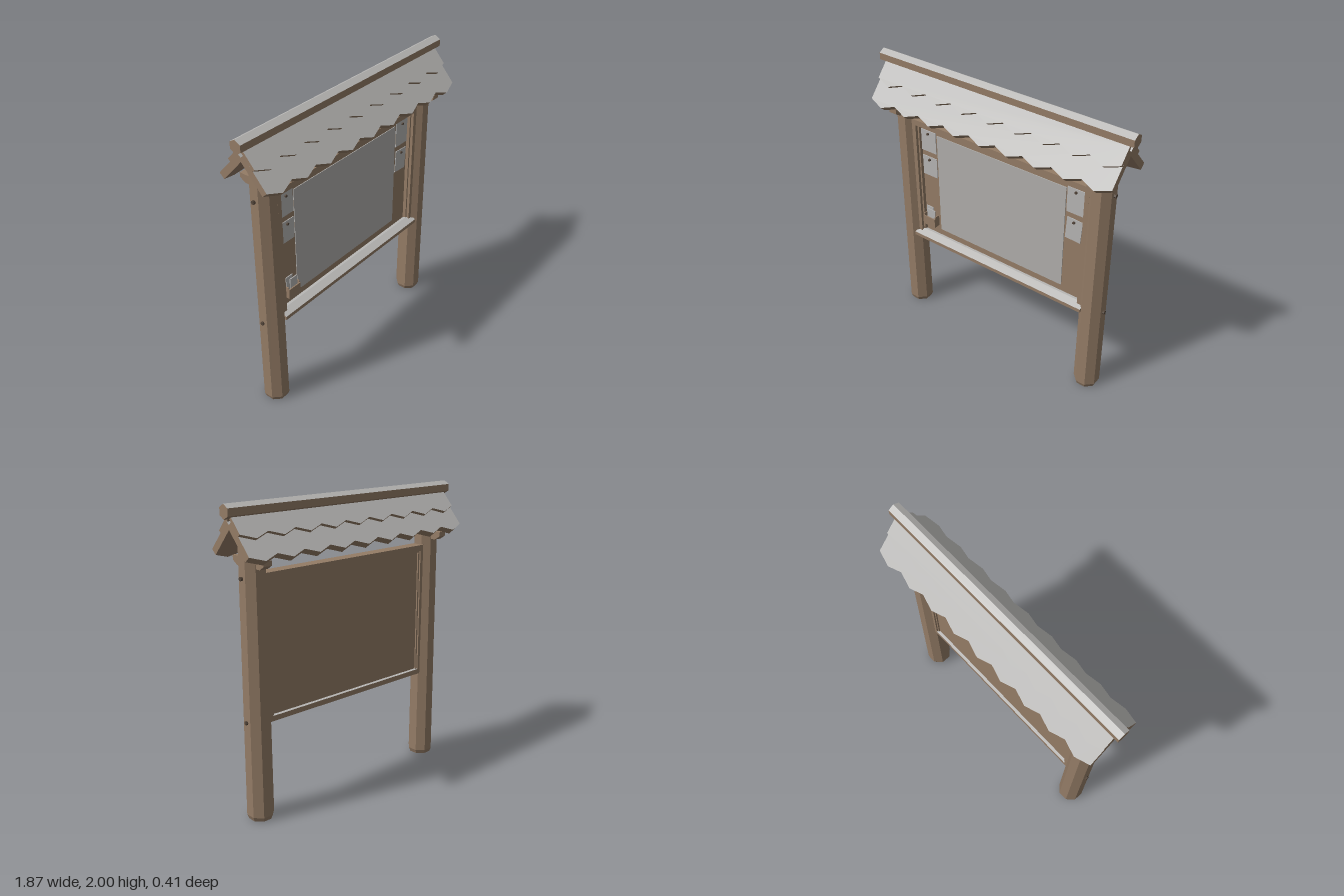
import * as THREE from 'three';

const mat = (name, color) => Object.assign(new THREE.MeshStandardMaterial({ color }), { name });

export function createModel() {
  const wood = mat('brown wood', 0x947c66);
  const weathered = mat('weathered grey', 0xb9b8b6);
  const poster = mat('poster grey', 0xb0aeab);
  const paper = mat('note paper', 0xb6b5b4);
  const metal = mat('dark metal', 0x54463a);
  const root = new THREE.Group();

  const add = (name, geo, material, x = 0, y = 0, z = 0, parent = root) => {
    const m = new THREE.Mesh(geo, material);
    m.name = name;
    m.position.set(x, y, z);
    parent.add(m);
    return m;
  };
  // box given by its limits
  const box = (name, m, x0, x1, y0, y1, z0, z1) =>
    add(name, new THREE.BoxGeometry(x1 - x0, y1 - y0, z1 - z0), m, (x0 + x1) / 2, (y0 + y1) / 2, (z0 + z1) / 2);
  // hard-edged facets
  const flat = (geo) => {
    const g = geo.index ? geo.toNonIndexed() : geo;
    g.computeVertexNormals();
    return g;
  };
  // faces that look upward get material 1, all others material 0
  const splitTop = (geo) => {
    const g = flat(geo), n = g.attributes.normal;
    g.clearGroups();
    for (let i = 0; i < n.count; i += 3) g.addGroup(i, 3, n.getY(i) > 0.4 ? 1 : 0);
    return g;
  };
  // profile of [z, y] points extruded along x, centred
  const beam = (points, length) => {
    const s = new THREE.Shape(points.map(([z, y]) => new THREE.Vector2(-z, y)));
    const g = new THREE.ExtrudeGeometry(s, { depth: length, bevelEnabled: false });
    return g.translate(0, 0, -length / 2).rotateY(Math.PI / 2);
  };

  // posts, cross brackets and bolts
  for (const side of [-1, 1]) {
    const g = new THREE.CylinderGeometry(0.081, 0.088, 1.84, 8, 1, false, Math.PI / 8);
    const p = g.attributes.position;
    for (let i = 0; i < p.count; i++) {
      // top follows the roof slope
      if (p.getY(i) > 0) p.setY(i, 1.86 - 1.11 * Math.abs(p.getZ(i)));
      else p.setY(i, 0.03);
    }
    add('post', flat(g), wood, side * 0.75);
    const foot = new THREE.CylinderGeometry(0.088, 0.076, 0.03, 8, 1, false, Math.PI / 8);
    add('postFoot', flat(foot), wood, side * 0.75, 0.015);

    const bracket = beam([[-0.15, 1.675], [-0.15, 1.645], [-0.11, 1.62], [0.11, 1.62], [0.15, 1.645], [0.15, 1.675]], 0.058);
    add('roofBracket', bracket, wood, side * 0.75);

    for (const y of [0.665, 1.56]) {
      const bolt = new THREE.CylinderGeometry(0.013, 0.013, 0.024, 6).rotateZ(Math.PI / 2);
      add('bolt', flat(bolt), metal, side * 0.829, y);
    }
  }

  // ridge beam
  const hex = [];
  for (let i = 0; i < 6; i++) {
    const a = Math.PI / 2 + (i * Math.PI) / 3;
    hex.push([Math.cos(a) * 0.045, 1.955 + Math.sin(a) * 0.045]);
  }
  add('ridgeBeam', splitTop(beam(hex, 1.865)), [wood, weathered]);

  // two layers of zigzag-edged roof boards on each slope
  const roofLayer = (top, valley, tip, t) => {
    const s = new THREE.Shape();
    s.moveTo(0.9, -0.03);
    s.lineTo(-0.9, -0.03);
    for (let i = 0; i <= 18; i++) s.lineTo(-0.9 + i * 0.1, i % 2 ? -tip : -valley);
    const g = new THREE.ExtrudeGeometry(s, { depth: t, bevelEnabled: false });
    g.translate(0, 0, -t).rotateX(THREE.MathUtils.degToRad(-42)).translate(0, top, 0);
    return splitTop(g);
  };
  for (const turn of [0, Math.PI]) {
    const slope = new THREE.Group();
    slope.name = turn ? 'backRoof' : 'frontRoof';
    slope.rotation.y = turn;
    root.add(slope);
    add('lowerBoards', roofLayer(1.918, 0.268, 0.306, 0.045), [wood, weathered], 0, 0, 0, slope);
    add('upperBoards', roofLayer(1.948, 0.15, 0.188, 0.02), [wood, weathered], 0, 0, 0, slope);
  }

  // notice board and frame
  box('backBoard', wood, -0.66, 0.66, 0.66, 1.55, -0.02, 0);
  box('topRail', wood, -0.69, 0.69, 1.54, 1.58, -0.04, 0.045);
  box('topInnerTrim', wood, -0.66, 0.66, 1.528, 1.54, -0.03, 0.025);
  for (const s of [-1, 1]) {
    const stile = add('sideStile', new THREE.BoxGeometry(0.03, 0.88, 0.085), wood, s * 0.672, 1.1, 0.0025);
    stile.name = 'sideStile';
    add('sideInnerTrim', new THREE.BoxGeometry(0.012, 0.87, 0.055), wood, s * 0.651, 1.1, -0.0025);
  }
  add('bottomRail', splitTop(beam([[-0.04, 0.64], [0.03, 0.64], [0.03, 0.685], [-0.04, 0.675]], 1.36)), [wood, weathered]);
  add('sill', splitTop(beam([[0.01, 0.64], [0.075, 0.64], [0.075, 0.666], [0.025, 0.688], [0.01, 0.688]], 1.4)), [wood, weathered]);

  // poster and pinned notes: x, y, width, height, tilt
  box('poster', poster, -0.51, 0.505, 0.73, 1.49, 0, 0.005);
  const notes = [
    [-0.582, 1.425, 0.125, 0.16, 0],
    [-0.58, 1.23, 0.122, 0.15, 0],
    [0.577, 1.415, 0.125, 0.18, 0],
    [0.575, 1.205, 0.112, 0.16, -0.06],
  ];
  for (const [x, y, w, h, tilt] of notes) {
    add('note', new THREE.BoxGeometry(w, h, 0.005), paper, x, y, 0.004).rotation.z = tilt;
    const pin = new THREE.CylinderGeometry(0.009, 0.009, 0.012, 8).rotateX(Math.PI / 2);
    add('pin', flat(pin), metal, x, y + h / 2 - 0.022, 0.011);
  }

  // open leaflet box
  box('leafletBoxFront', wood, -0.635, -0.53, 0.757, 0.827, 0.042, 0.05);
  box('leafletBoxFloor', wood, -0.635, -0.53, 0.757, 0.765, 0, 0.042);
  box('leafletBoxSide', wood, -0.635, -0.628, 0.765, 0.84, 0, 0.042);
  box('leafletBoxSide', wood, -0.537, -0.53, 0.765, 0.84, 0, 0.042);
  box('leaflet', paper, -0.625, -0.565, 0.77, 0.9, 0.012, 0.018);
  box('leaflet', paper, -0.603, -0.54, 0.77, 0.885, 0.026, 0.032);

  return root;
}
